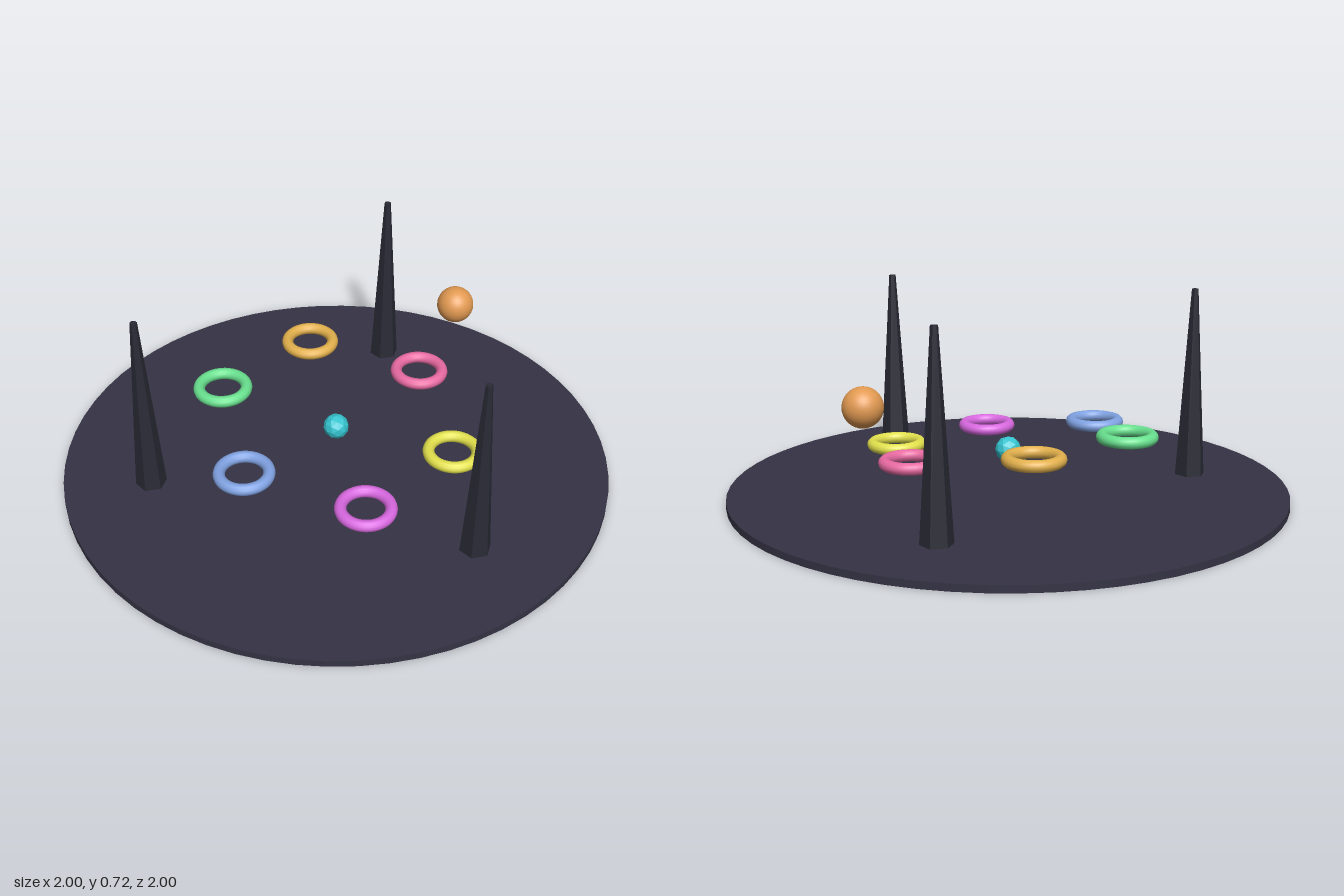
import * as THREE from 'three';

export function createModel() {
  const model = new THREE.Group();

  function add(name, geometry, color, x, y, z, flatShading = false) {
    const material = new THREE.MeshStandardMaterial({ color, flatShading });
    const mesh = new THREE.Mesh(geometry, material);
    mesh.name = name;
    mesh.position.set(x, y, z);
    model.add(mesh);
    return mesh;
  }

  // Thin round floor
  add('floorDisc', new THREE.CylinderGeometry(1, 1, 0.025, 64), 0x353344, 0, 0.0125, 0);

  // Three tapering six-sided spires, one at the front and two at the back
  const spire = new THREE.CylinderGeometry(0.0125, 0.056, 0.694, 6);
  for (let i = 0; i < 3; i++) {
    const a = Math.PI / 2 + (i * Math.PI * 2) / 3;
    add('spire' + (i + 1), spire, 0x2a2a36, 0.6875 * Math.cos(a), 0.37, 0.6875 * Math.sin(a), true);
  }

  // Floating rings around the centre, higher towards the back
  const ring = new THREE.TorusGeometry(0.0875, 0.0215, 12, 40).rotateX(Math.PI / 2);
  const ringColors = [0xe86aa2, 0xe2e04c, 0xd868e0, 0x80a2e2, 0x68e08e, 0xe2b04c];
  const ringHeights = [0.187, 0.137, 0.137, 0.187, 0.237, 0.237];
  ringColors.forEach((color, i) => {
    const a = (i * Math.PI) / 3;
    add('ring' + (i + 1), ring, color, 0.4375 * Math.cos(a), ringHeights[i], 0.4375 * Math.sin(a));
  });

  // Faceted gem in the middle
  add('centreGem', new THREE.IcosahedronGeometry(0.047, 1), 0x35c4d0, 0, 0.154, 0, true);

  // Smooth ball hovering on the left
  add('hoveringBall', new THREE.SphereGeometry(0.0688, 32, 20), 0xe29a52, 0.625, 0.406, 0);

  return model;
}
